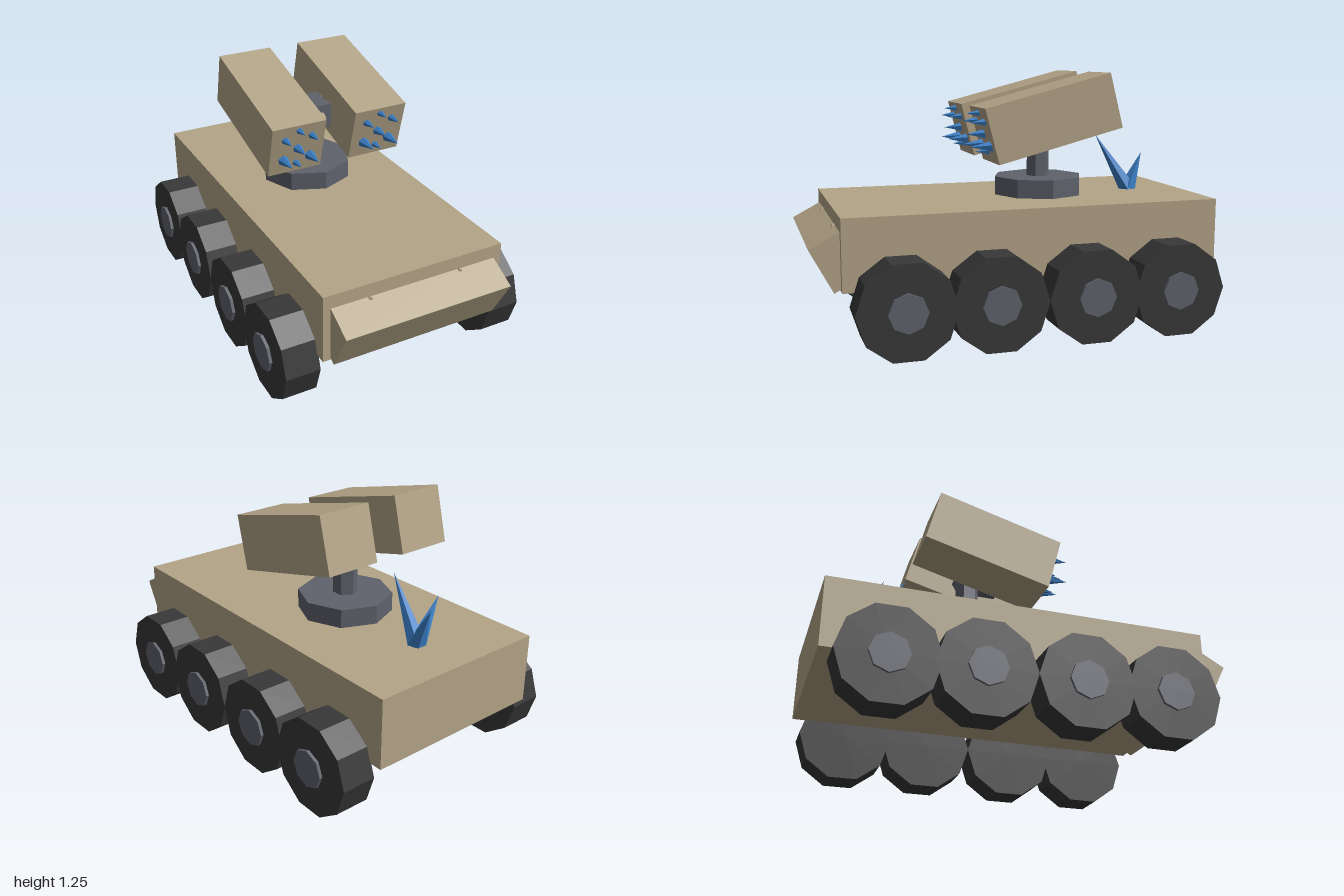
import * as THREE from 'three';

const paint = (name, color) => {
  const m = new THREE.MeshStandardMaterial({ color });
  m.name = name;
  m.flatShading = true;
  return m;
};

export function createModel() {
  const sand = paint('sand', 0xb3a487);
  const steel = paint('steel grey', 0x5f626c);
  const rubber = paint('tyre black', 0x383838);
  const blue = paint('spike blue', 0x3b7fc6);

  const model = new THREE.Group();
  model.name = 'missileCarrier';

  const add = (parent, name, geometry, material, x, y, z) => {
    const mesh = new THREE.Mesh(geometry, material);
    mesh.name = name;
    mesh.position.set(x, y, z);
    parent.add(mesh);
    return mesh;
  };
  const box = (w, h, d) => new THREE.BoxGeometry(w, h, d);
  const drum = (r, h, sides) => new THREE.CylinderGeometry(r, r, h, sides);
  const axleDrum = (r, w, sides) => drum(r, w, sides).rotateZ(Math.PI / 2);

  // Hull and tilted nose plate
  add(model, 'hull', box(0.93, 0.34, 1.86), sand, 0, 0.457, -0.07);
  const nose = add(model, 'nosePlate', box(0.855, 0.232, 0.2), sand, 0, 0.43, 0.857);
  nose.rotation.x = 0.49;
  for (const x of [-0.235, 0.235]) {
    add(model, 'noseLamp', new THREE.IcosahedronGeometry(0.012), sand, x, 0.555, 0.866);
  }

  // Eight wheels with hubs
  const tyreGeo = axleDrum(0.233, 0.17, 10);
  const hubGeo = axleDrum(0.092, 0.1, 8);
  for (const side of [-1, 1]) {
    for (const z of [0.596, 0.168, -0.297, -0.725]) {
      const wheel = new THREE.Group();
      wheel.name = 'wheel';
      wheel.position.set(side * 0.545, 0.222, z);
      add(wheel, 'tyre', tyreGeo, rubber, 0, 0, 0);
      add(wheel, 'hub', hubGeo, steel, side * 0.05, 0, 0);
      model.add(wheel);
    }
  }

  // Turret ring, post, cross axle and sensor head
  const turret = new THREE.Group();
  turret.name = 'turret';
  model.add(turret);
  add(turret, 'turretRing', drum(0.233, 0.1, 8), steel, 0, 0.67, -0.222);
  add(turret, 'post', drum(0.06, 0.3, 6), steel, 0, 0.85, -0.222);
  add(turret, 'crossAxle', axleDrum(0.06, 0.2, 6), steel, 0, 1.0, -0.222);
  add(turret, 'sensorHead', box(0.122, 0.122, 0.118), steel, 0, 1.0, -0.114);
  add(turret, 'sensorLens', new THREE.IcosahedronGeometry(0.03), sand, 0, 1.0, -0.05);

  // Launcher boxes and their rocket tips: [x offset, y, tip z]
  const tips = [
    [0, 1.06, 0.22], [0, 0.96, 0.22], [0, 0.875, 0.175],
    [-0.07, 1.02, 0.22], [0.07, 1.02, 0.22],
    [-0.07, 0.905, 0.22], [0.07, 0.905, 0.22],
  ];
  const tipGeo = new THREE.ConeGeometry(0.032, 0.12, 5).rotateY(Math.PI).rotateX(Math.PI / 2);
  for (const x of [-0.22, 0.22]) {
    const launcher = add(turret, 'launcherBox', box(0.28, 0.275, 0.65), sand, x, 1.037, -0.184);
    launcher.rotation.x = 0.253;
    for (const [dx, y, z] of tips) add(turret, 'rocketTip', tipGeo, blue, x + dx, y, z - 0.06);
  }

  // Cluster of leaning spikes on the rear deck
  const root = new THREE.Vector3(0.005, 0.63, -0.73);
  const up = new THREE.Vector3(0, 1, 0);
  for (const p of [[-0.012, 0.92, -0.548], [0.005, 0.82, -0.808], [-0.167, 0.81, -0.69]]) {
    const lean = new THREE.Vector3(...p).sub(root);
    const length = lean.length();
    const geo = new THREE.ConeGeometry(0.045, length, 5).translate(0, length / 2, 0);
    const spike = add(model, 'deckSpike', geo, blue, root.x, root.y, root.z);
    spike.quaternion.setFromUnitVectors(up, lean.normalize());
  }

  return model;
}
